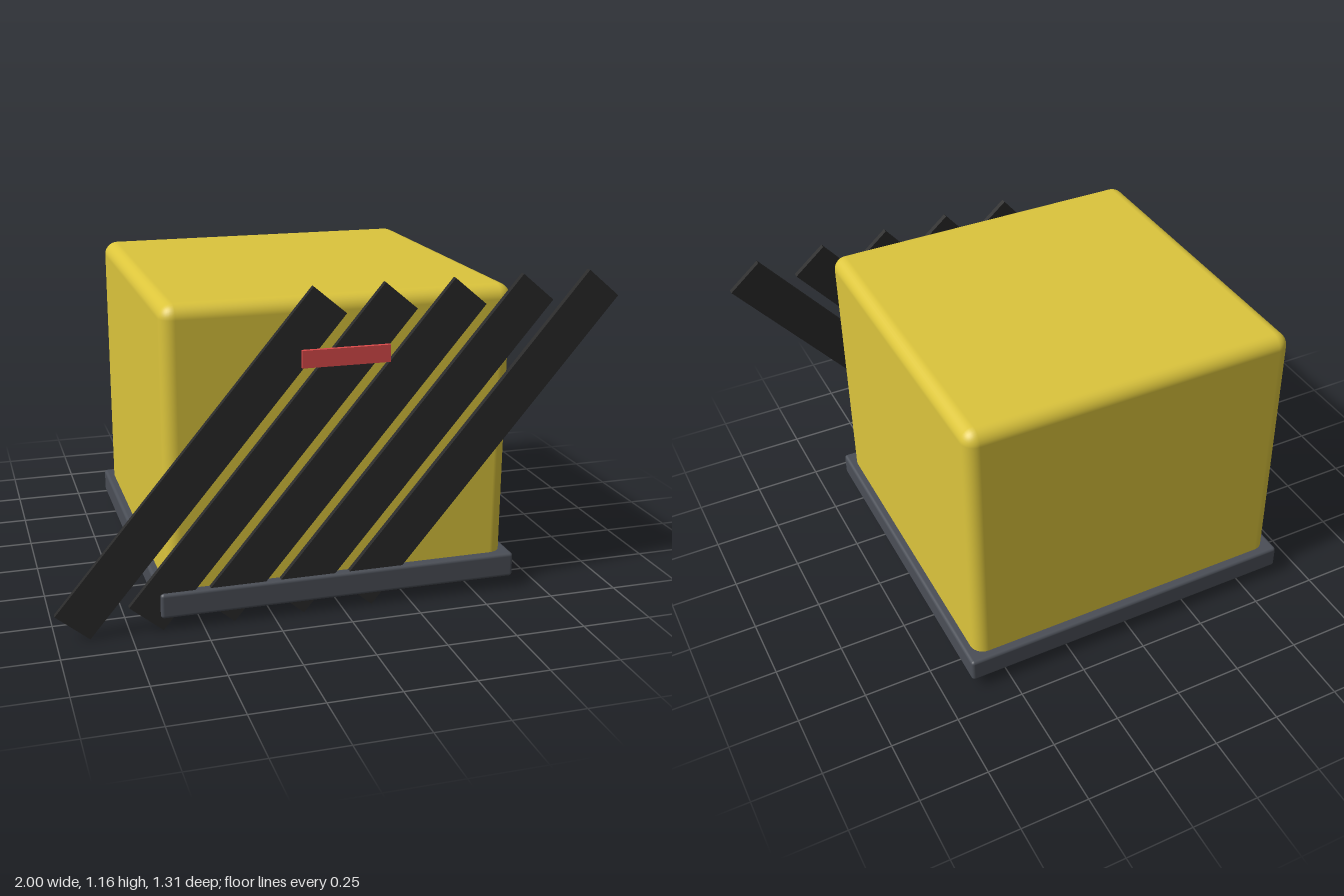
import * as THREE from 'three';
import { RoundedBoxGeometry } from 'three/addons/geometries/RoundedBoxGeometry.js';

export function createModel() {
  const group = new THREE.Group();
  const material = (color) => new THREE.MeshStandardMaterial({ color });
  const add = (name, geometry, mat, x, y, z) => {
    const mesh = new THREE.Mesh(geometry, mat);
    mesh.name = name;
    mesh.position.set(x, y, z);
    group.add(mesh);
    return mesh;
  };

  // Rounded block standing in a shallow plinth with a flush underside
  add('body', new RoundedBoxGeometry(1.232, 1.075, 1.232, 4, 0.05), material(0xdcc53c), 0, 0.5835, -0.004);
  add('base', new RoundedBoxGeometry(1.292, 0.09, 1.296, 3, 0.012), material(0x4a4e56), 0, 0.09, -0.004);

  // Five slanted strips across the front
  const stripMaterial = material(0x2a2a2a);
  const stripGeometry = new THREE.BoxGeometry(0.15, 1.388, 0.02);
  for (let i = -2; i <= 2; i++) {
    const strip = add('slantedStrip', stripGeometry, stripMaterial, i * 0.249, 0.58, 0.622);
    strip.rotation.z = -THREE.MathUtils.degToRad(40);
  }

  // Small plate in front of the strips
  add('frontPlate', new THREE.BoxGeometry(0.308, 0.06, 0.015), material(0xdc4a4a), 0, 0.922, 0.6465);

  return group;
}
